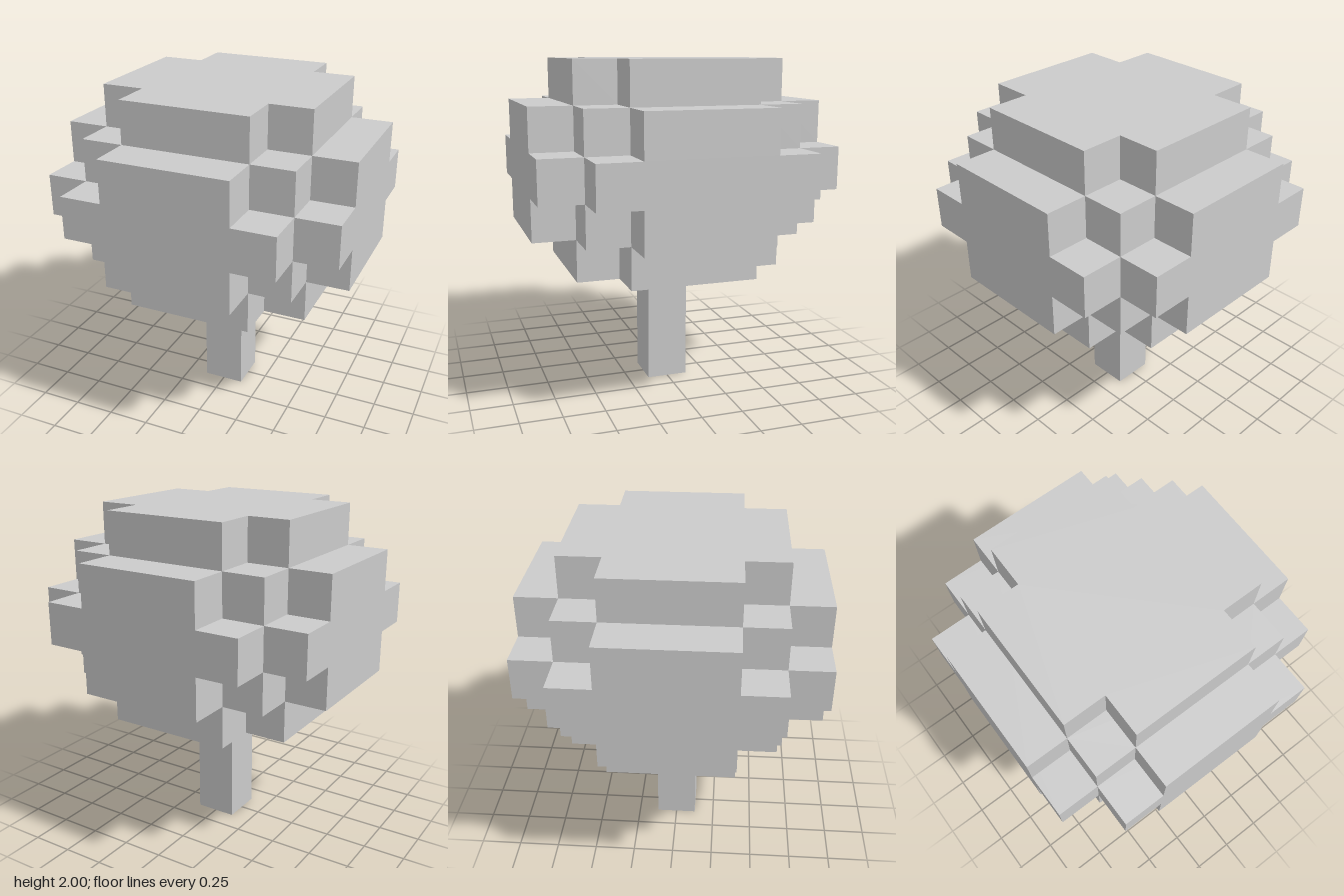
import * as THREE from 'three';

const U = 0.25; // block size
const material = new THREE.MeshStandardMaterial({ color: 0xcccccc, flatShading: true });

// Stepped outline: one corner's points turned through four quarters
function outline(corner) {
  const points = [];
  for (let q = 0; q < 4; q++) {
    for (const [a, b] of corner) {
      let x = a, y = b;
      for (let i = 0; i < q; i++) [x, y] = [-y, x];
      points.push(new THREE.Vector2(x * U, y * U));
    }
  }
  return new THREE.Shape(points);
}

function layer(name, corner, y) {
  const geometry = new THREE.ExtrudeGeometry(outline(corner), { depth: U, bevelEnabled: false });
  geometry.rotateX(-Math.PI / 2);
  const mesh = new THREE.Mesh(geometry, material);
  mesh.name = name;
  mesh.position.y = y;
  return mesh;
}

export function createModel() {
  const tree = new THREE.Group();
  tree.name = 'tree';

  // Trunk
  const trunk = new THREE.Mesh(new THREE.BoxGeometry(U, 3 * U, U), material);
  trunk.name = 'trunk';
  trunk.position.y = 1.5 * U;
  tree.add(trunk);

  // Crown: five one-block layers, mirrored about the middle one (corners in blocks)
  const cap = [[2.5, 1.5], [1.5, 1.5], [1.5, 2.5]];
  const shoulder = [[3.5, 1.5], [2.5, 1.5], [2.5, 2.5], [1.5, 2.5], [1.5, 3.5]];
  const middle = [[3.5, 2.5], [2.5, 2.5], [2.5, 3.5]];
  const crown = new THREE.Group();
  crown.name = 'crown';
  [
    ['crownBottom', cap],
    ['crownLower', shoulder],
    ['crownMiddle', middle],
    ['crownUpper', shoulder],
    ['crownTop', cap],
  ].forEach(([name, corner], i) => crown.add(layer(name, corner, (3 + i) * U)));
  tree.add(crown);

  return tree;
}
